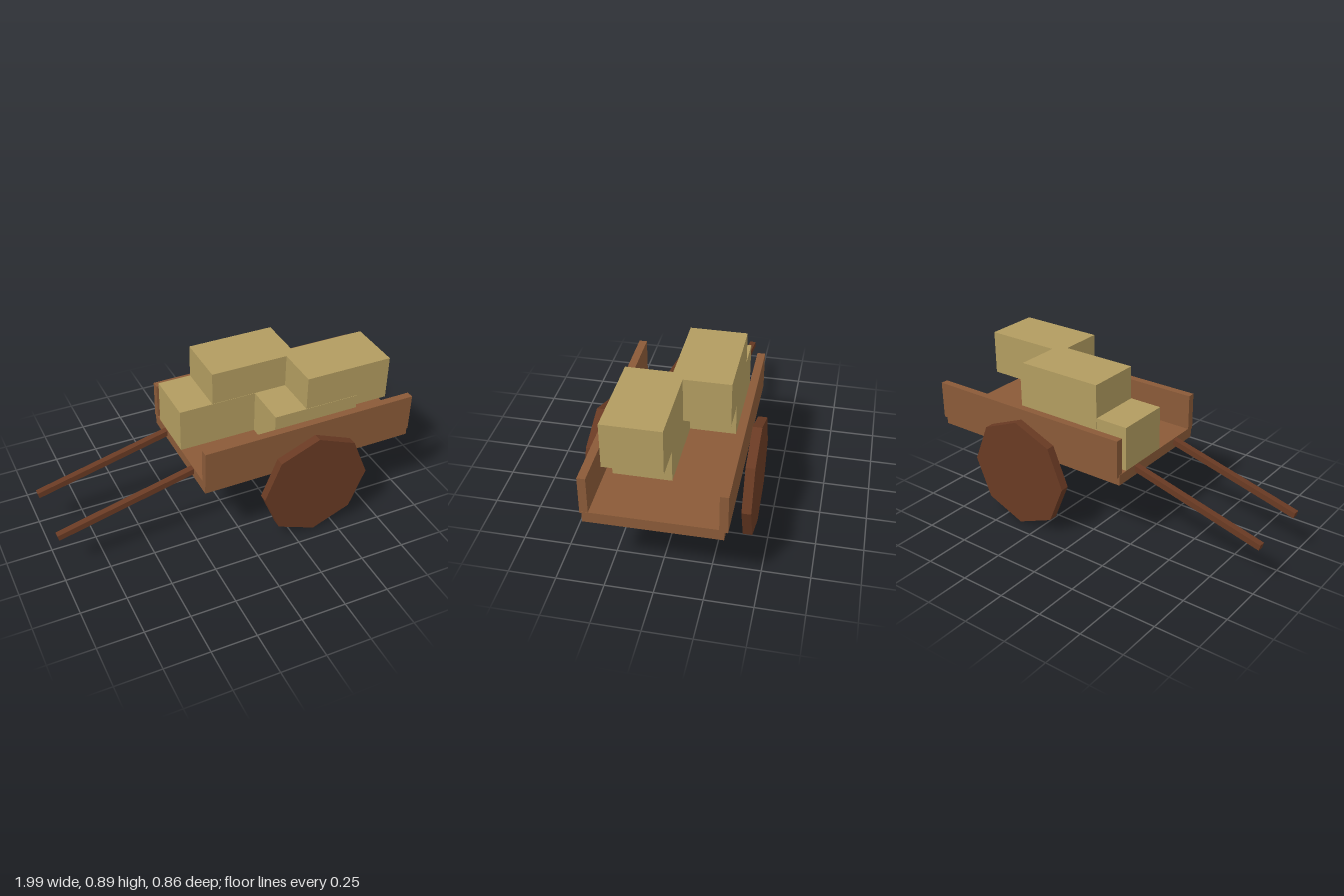
import * as THREE from 'three';

const plank = new THREE.MeshStandardMaterial({ name: 'plank wood', color: 0x8a5a38 });
const darkWood = new THREE.MeshStandardMaterial({ name: 'dark wood', color: 0x693a23 });
const hay = new THREE.MeshStandardMaterial({ name: 'hay', color: 0xb29c60 });
for (const m of [plank, darkWood, hay]) m.flatShading = true;

export function createModel() {
  const cart = new THREE.Group();
  cart.name = 'hayCart';

  // Box given by its lower and upper corners
  const box = (name, material, [x0, y0, z0], [x1, y1, z1]) => {
    const mesh = new THREE.Mesh(new THREE.BoxGeometry(x1 - x0, y1 - y0, z1 - z0), material);
    mesh.position.set((x0 + x1) / 2, (y0 + y1) / 2, (z0 + z1) / 2);
    mesh.name = name;
    cart.add(mesh);
    return mesh;
  };

  // Cart bed, very slightly askew
  box('bed', plank, [-0.24, 0.403, -0.341], [0.99, 0.463, 0.341]).rotation.y = 0.005;

  for (const side of [1, -1]) {
    const label = side > 0 ? 'front' : 'back';

    // Side board, overlapping the edge of the bed
    const z = side * 0.334 - 0.004;
    box(label + 'SideBoard', plank, [-0.24, 0.452, z - 0.021], [0.99, 0.664, z + 0.021])
      .rotation.y = 0.005;

    // Solid eight-sided wheel standing on one corner
    const wheel = new THREE.Mesh(new THREE.CylinderGeometry(0.308, 0.308, 0.049, 8), darkWood);
    wheel.rotation.x = Math.PI / 2;
    wheel.position.set(0.377, 0.309, side * 0.404);
    wheel.name = label + 'Wheel';
    cart.add(wheel);

    // Pull handle sloping down from the bed
    const start = new THREE.Vector3(-0.232, 0.444, side * 0.183 - 0.002);
    const end = new THREE.Vector3(-0.996, 0.249, side * 0.183 - 0.008);
    const handle = new THREE.Mesh(
      new THREE.BoxGeometry(0.035, 0.033, start.distanceTo(end)), darkWood);
    handle.position.copy(start).lerp(end, 0.5);
    handle.lookAt(end);
    handle.name = label + 'Handle';
    cart.add(handle);
  }

  // Four equal hay bales: two on the bed, two stacked on top
  const bales = [
    ['lowerBackBale', -0.24, 0.463, -0.278],
    ['lowerFrontBale', 0.197, 0.463, -0.034],
    ['upperBackBale', -0.053, 0.649, -0.28],
    ['upperFrontBale', 0.38, 0.649, -0.036],
  ];
  for (const [name, x, y, z] of bales) {
    box(name, hay, [x, y, z], [x + 0.49, y + 0.246, z + 0.303]);
  }

  return cart;
}
